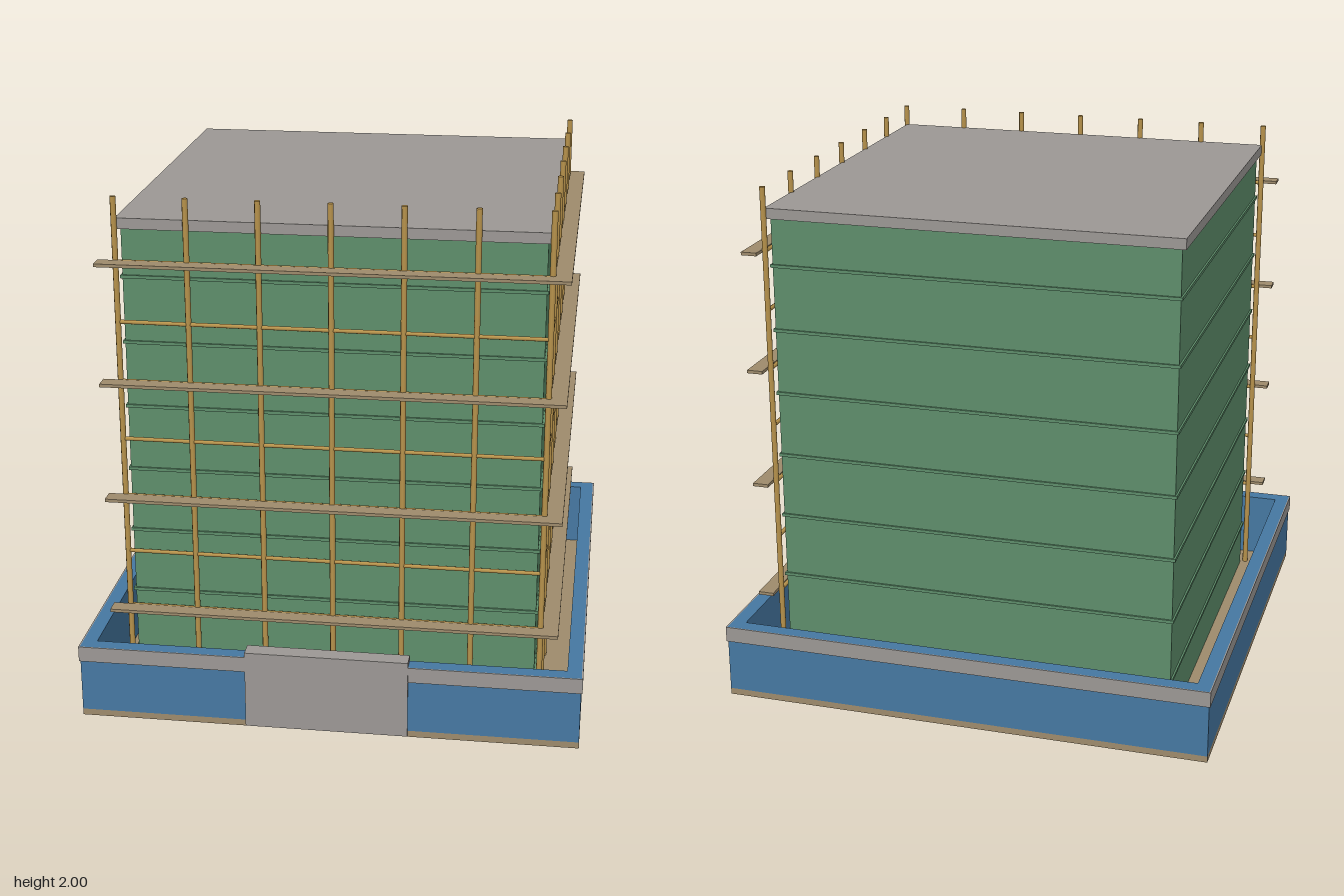
import * as THREE from 'three';

export function createModel() {
  const model = new THREE.Group();
  model.name = 'constructionSite';

  const paint = (name, color) => {
    const m = new THREE.MeshStandardMaterial({ color });
    m.name = name;
    return m;
  };
  const earth = paint('timberTan', 0x9e8b6c);
  const blue = paint('hoardingBlue', 0x4678a2);
  const grey = paint('concreteGrey', 0x9c9895);
  const green = paint('nettingGreen', 0x5e8e6b);
  const bamboo = paint('bambooGold', 0xb8934c);

  // Box given by its minimum and maximum corners
  const box = (name, mat, [x0, y0, z0], [x1, y1, z1], parent = model) => {
    const mesh = new THREE.Mesh(new THREE.BoxGeometry(x1 - x0, y1 - y0, z1 - z0), mat);
    mesh.position.set((x0 + x1) / 2, (y0 + y1) / 2, (z0 + z1) / 2);
    mesh.name = name;
    parent.add(mesh);
    return mesh;
  };

  // Ground slab
  const W = 0.944, IN = 0.89;
  box('groundSlab', earth, [-W, 0, -W], [W, 0.025, W]);

  // Perimeter hoarding: blue walls with a grey strip along the outer top
  const fence = new THREE.Group();
  fence.name = 'hoarding';
  model.add(fence);
  const low = 0.025, top = 0.29, strip = 0.23, out = 0.949;
  for (const s of [-1, 1]) {
    const a = Math.min(s * IN, s * W), b = Math.max(s * IN, s * W);
    const c = Math.min(s * W, s * out), d = Math.max(s * W, s * out);
    box('hoardingWall', blue, [-W, low, a], [W, top, b], fence);
    box('hoardingWall', blue, [a, low, -IN], [b, top, IN], fence);
    box('hoardingStrip', grey, [-out, strip, c], [out, top, d], fence);
    box('hoardingStrip', grey, [c, strip, -W], [d, top, W], fence);
  }
  box('gate', grey, [-0.31, 0.004, 0.885], [0.305, 0.31, 0.951]);

  // Netted building, with a thin fold at each storey, and its roof slab
  const B = 0.763, F = 0.77;
  box('nettedBuilding', green, [-B, 0.025, -B], [B, 1.88, B]);
  for (let i = 0; i < 7; i++) {
    const y = 1.7 - i * 0.248;
    box('nettingFold', green, [-F, y - 0.006, -F], [F, y + 0.006, F]);
  }
  box('roofSlab', grey, [-0.78, 1.88, -0.78], [0.78, 1.92, 0.78]);

  // Scaffold on the front and the left side
  const scaffold = new THREE.Group();
  scaffold.name = 'scaffold';
  model.add(scaffold);
  const S = 0.782;
  const rod = (name, radius, length, x, y, z) => {
    const mesh = new THREE.Mesh(new THREE.CylinderGeometry(radius, radius, length, 8), bamboo);
    mesh.position.set(x, y, z);
    mesh.name = name;
    scaffold.add(mesh);
    return mesh;
  };

  // Upright poles, sharing the corner
  const height = 2 - 0.025;
  for (let i = 0; i < 7; i++) {
    const t = -S + (i * S) / 3;
    rod('uprightPole', 0.011, height, t, 0.025 + height / 2, S);
    if (i < 6) rod('uprightPole', 0.011, height, S, 0.025 + height / 2, t);
  }

  // Cross rails at every level, with a plank walkway on every other one
  for (let i = 0; i < 7; i++) {
    const y = 0.4 + i * 0.2267;
    rod('crossRail', 0.008, 2 * S, 0, y, S).rotation.z = Math.PI / 2;
    rod('crossRail', 0.008, 2 * S, S, y, 0).rotation.x = Math.PI / 2;
    if (i % 2 === 0) {
      box('frontPlank', earth, [-0.845, y - 0.005, 0.79], [0.85, y + 0.007, 0.85], scaffold);
      box('sidePlank', earth, [0.79, y - 0.005, -0.845], [0.85, y + 0.007, 0.79], scaffold);
    }
  }
  return model;
}
